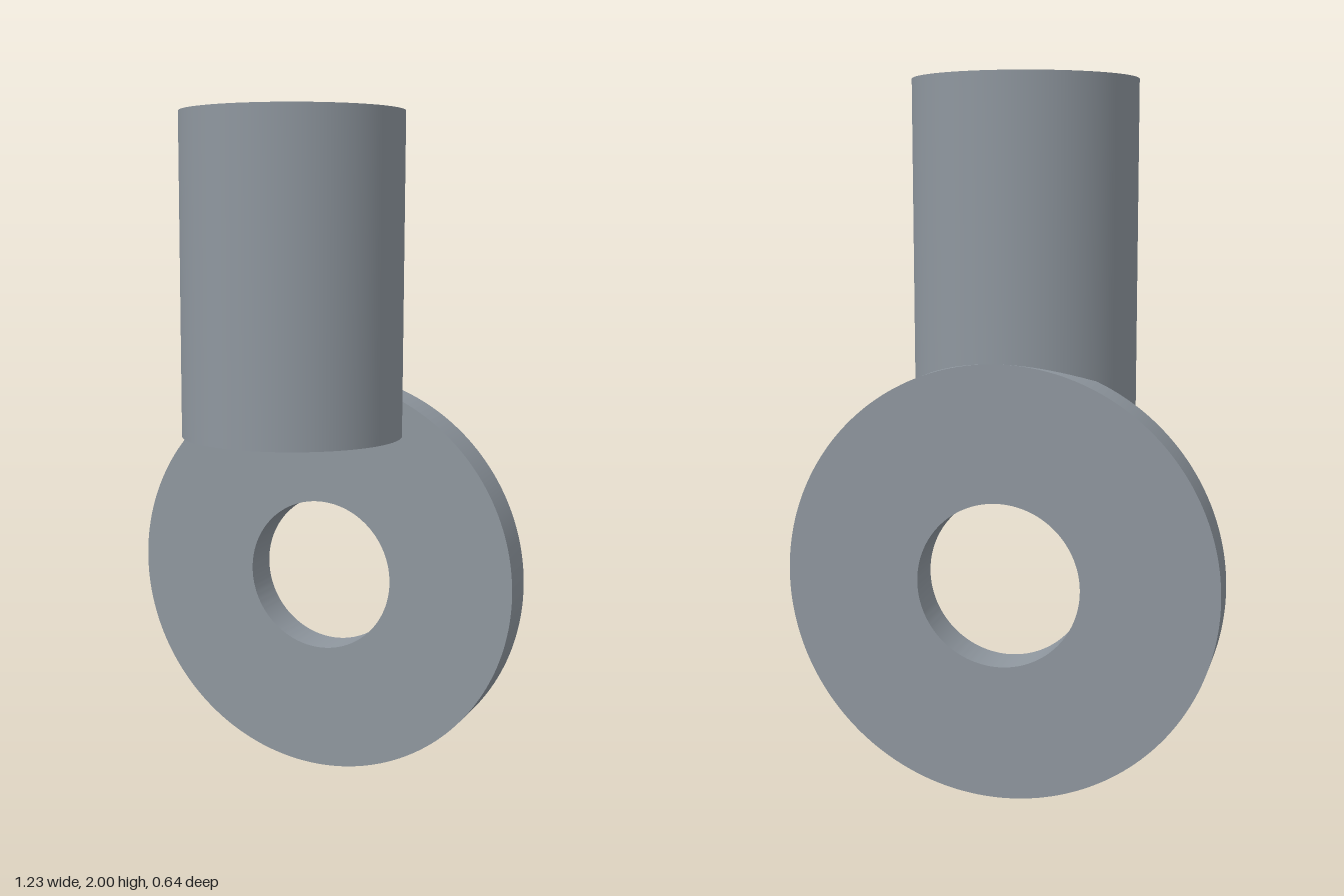
import * as THREE from 'three';
import { toCreasedNormals } from 'three/addons/utils/BufferGeometryUtils.js';

const POST_RADIUS = 0.32, POST_BOTTOM = 1.08, POST_TOP = 2;
const RING_RADIUS = 0.615, HOLE_RADIUS = 0.232, RING_DEPTH = 0.12;

export function createModel() {
  const group = new THREE.Group();
  group.name = 'eyeletPost';

  const steel = new THREE.MeshStandardMaterial({ color: 0x8f979f });
  steel.name = 'steel grey';

  // Solid round post
  const height = POST_TOP - POST_BOTTOM;
  const post = new THREE.Mesh(
    new THREE.CylinderGeometry(POST_RADIUS, POST_RADIUS, height, 96), steel);
  post.name = 'post';
  post.position.y = POST_BOTTOM + height / 2;
  group.add(post);

  // Flat ring with a round hole, its back flush with the back of the post
  const outline = new THREE.Shape().absarc(0, 0, RING_RADIUS, 0, Math.PI * 2);
  outline.holes.push(new THREE.Path().absarc(0, 0, HOLE_RADIUS, 0, Math.PI * 2, true));
  const ringGeometry = new THREE.ExtrudeGeometry(outline, {
    depth: RING_DEPTH, bevelEnabled: false, curveSegments: 96,
  });
  const ring = new THREE.Mesh(toCreasedNormals(ringGeometry, Math.PI / 6), steel);
  ring.name = 'ring';
  ring.position.set(0, RING_RADIUS, -POST_RADIUS);
  group.add(ring);

  return group;
}
